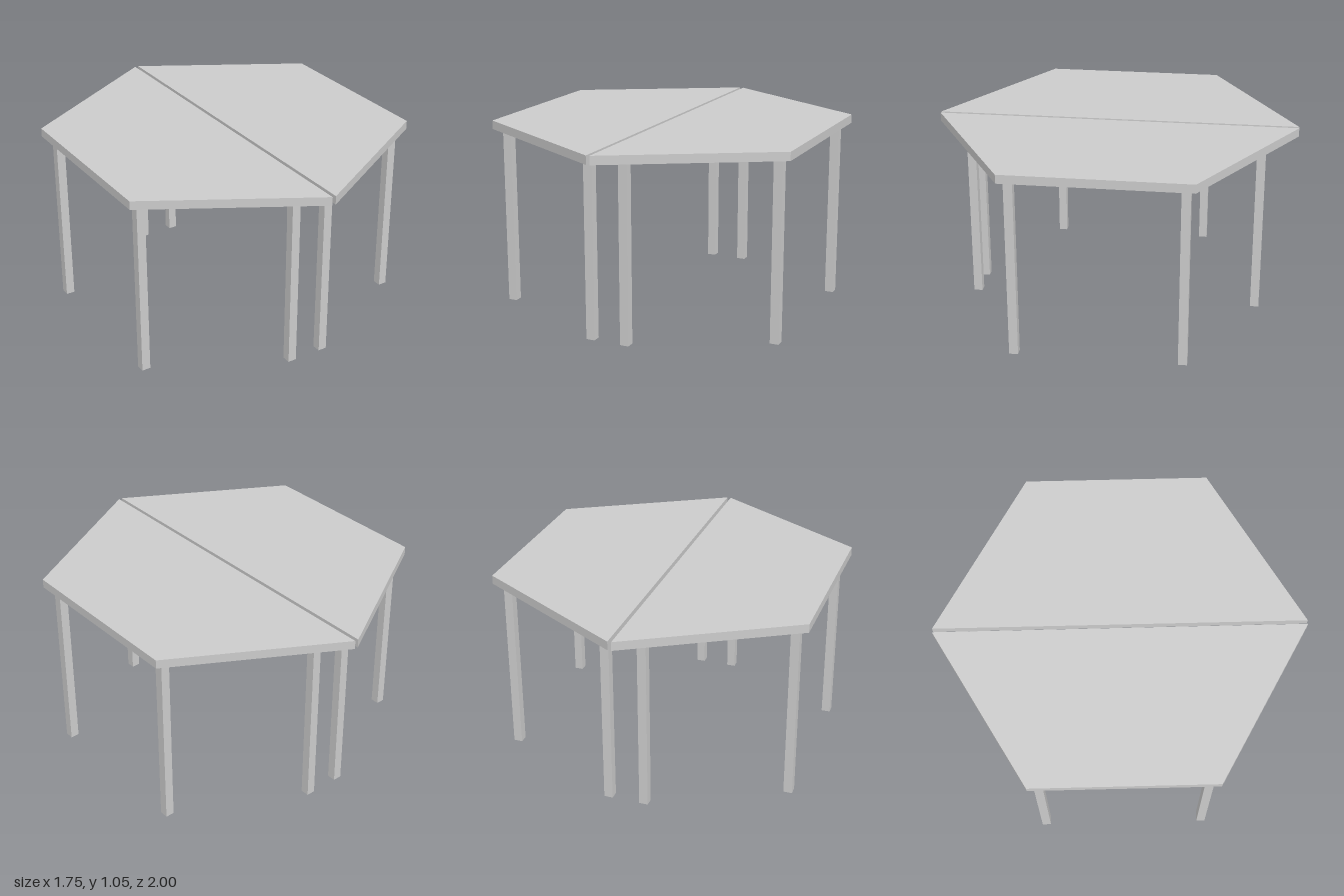
import * as THREE from 'three';

const LEG_HEIGHT = 1.0, LEG_WIDTH = 0.048, TOP_THICKNESS = 0.048;
const INNER_X = 0.01, OUTER_X = 0.875;

export function createModel() {
  const model = new THREE.Group();
  model.name = 'splitHexagonalTable';
  const material = new THREE.MeshStandardMaterial({ color: 0xcccccc, flatShading: true });
  const legGeometry = new THREE.BoxGeometry(LEG_WIDTH, LEG_HEIGHT, LEG_WIDTH);

  // Two separate trapezoidal tables, mirrored across a narrow gap
  for (const [side, s] of [['left', 1], ['right', -1]]) {
    const table = new THREE.Group();
    table.name = side + 'Table';

    // Trapezoidal top, extruded upward from the leg height
    const outline = new THREE.Shape([
      [INNER_X, -1], [OUTER_X, -0.5], [OUTER_X, 0.5], [INNER_X, 1],
    ].map(([x, z]) => new THREE.Vector2(s * x, z)));
    const topGeometry = new THREE.ExtrudeGeometry(outline, { depth: TOP_THICKNESS, bevelEnabled: false });
    topGeometry.rotateX(-Math.PI / 2);
    const top = new THREE.Mesh(topGeometry, material);
    top.name = side + 'TableTop';
    top.position.y = LEG_HEIGHT;
    table.add(top);

    // Square legs near each corner
    for (const [place, x, z] of [['inner', 0.1, 0.803], ['outer', 0.8, 0.45]]) {
      for (const [end, d] of [['Front', 1], ['Back', -1]]) {
        const leg = new THREE.Mesh(legGeometry, material);
        leg.name = place + end + 'Leg';
        leg.position.set(s * x, LEG_HEIGHT / 2, d * z);
        table.add(leg);
      }
    }
    model.add(table);
  }
  return model;
}
